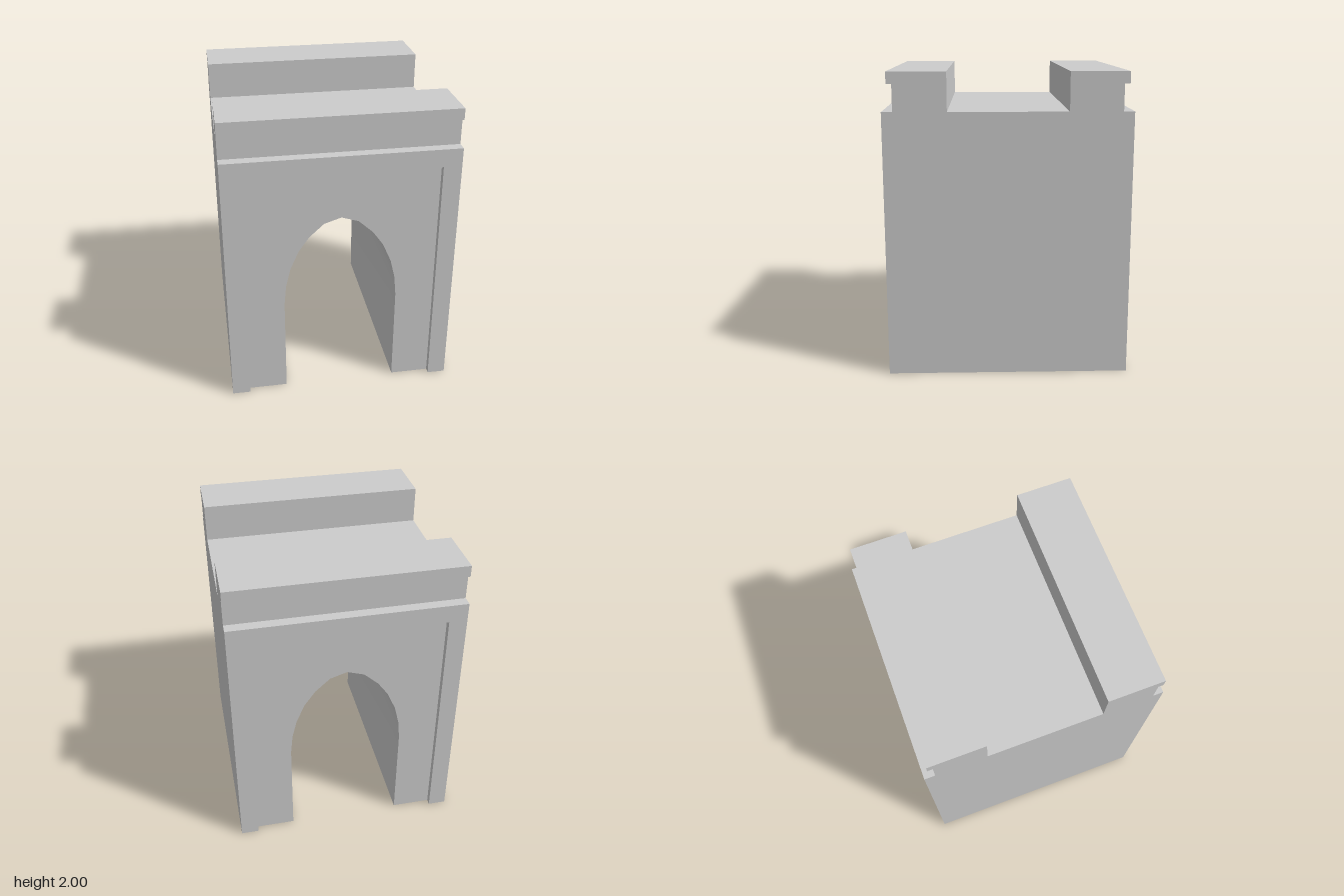
import * as THREE from 'three';
import { toCreasedNormals } from 'three/addons/utils/BufferGeometryUtils.js';

const HALF_W = 0.76, HALF_D = 0.795, PANEL_Z = 0.755, WALL_TOP = 1.75;

const mirrorPath = (half) => [
  ...half,
  ...half.filter(([a]) => a !== 0).reverse().map(([a, b]) => [-a, b]),
];

// Paths run from the positive side, over the top, to the negative side.
const ROOF = mirrorPath([
  [HALF_D, WALL_TOP], [0.725, WALL_TOP], [0.725, 1.925], [0.76, 1.925],
  [0.76, 2], [0.385, 2], [0.385, WALL_TOP],
]);
const RECESS = mirrorPath([[0.64, 0], [0.64, 1.63]]);
const ARCH = mirrorPath([
  [0.38, 0], [0.38, 0.68], [0.367, 0.82], [0.336, 0.95], [0.28, 1.08],
  [0.21, 1.18], [0.113, 1.27], [0, 1.307],
]);

// Open surface swept between two copies of a path.
function sweep(path, place, from, to) {
  const pos = [];
  for (let i = 0; i < path.length - 1; i++) {
    const a = place(path[i], from), b = place(path[i], to);
    const c = place(path[i + 1], to), d = place(path[i + 1], from);
    pos.push(...a, ...b, ...c, ...a, ...c, ...d);
  }
  const g = new THREE.BufferGeometry();
  g.setAttribute('position', new THREE.Float32BufferAttribute(pos, 3));
  return toCreasedNormals(g, 0.7);
}
const alongX = ([z, y], x) => [x, y, z];
const alongZ = ([x, y], z) => [x, y, z];

const face = (points) =>
  new THREE.ShapeGeometry(new THREE.Shape(points.map(([x, y]) => new THREE.Vector2(x, y))));

export function createModel() {
  const model = new THREE.Group();
  model.name = 'archedGate';
  const material = new THREE.MeshStandardMaterial({ color: 0xcccccc, side: THREE.DoubleSide });
  const add = (parent, name, geometry) => {
    const mesh = new THREE.Mesh(geometry, material);
    mesh.name = name;
    parent.add(mesh);
  };

  // Roof walkway with a corniced parapet at each end
  add(model, 'roofAndParapets', sweep(ROOF, alongX, -HALF_W, HALF_W));

  // Pointed passage through the gate
  add(model, 'archPassage', sweep(ARCH, alongZ, -PANEL_Z, PANEL_Z));

  // The two ends and two side walls are the same, turned half a circle
  for (const [end, side, angle] of [['front', 'left', 0], ['back', 'right', Math.PI]]) {
    const half = new THREE.Group();
    half.name = `${end}Half`;
    half.rotation.y = angle;
    model.add(half);

    // Raised border around the recess
    const border = [[HALF_W, 0], [HALF_W, WALL_TOP], [-HALF_W, WALL_TOP], [-HALF_W, 0]];
    add(half, `${end}Border`, face([...border, ...[...RECESS].reverse()]).translate(0, 0, HALF_D));
    add(half, `${end}RecessEdge`, sweep(RECESS, alongZ, PANEL_Z, HALF_D));

    // Recessed panel with the arch cut out
    add(half, `${end}Panel`, face([...RECESS, ...[...ARCH].reverse()]).translate(0, 0, PANEL_Z));

    // Side wall, following the roof outline
    const wall = face([[HALF_D, 0], ...ROOF, [-HALF_D, 0]]);
    add(half, `${side}Wall`, wall.rotateY(Math.PI / 2).translate(HALF_W, 0, 0));
  }
  return model;
}
